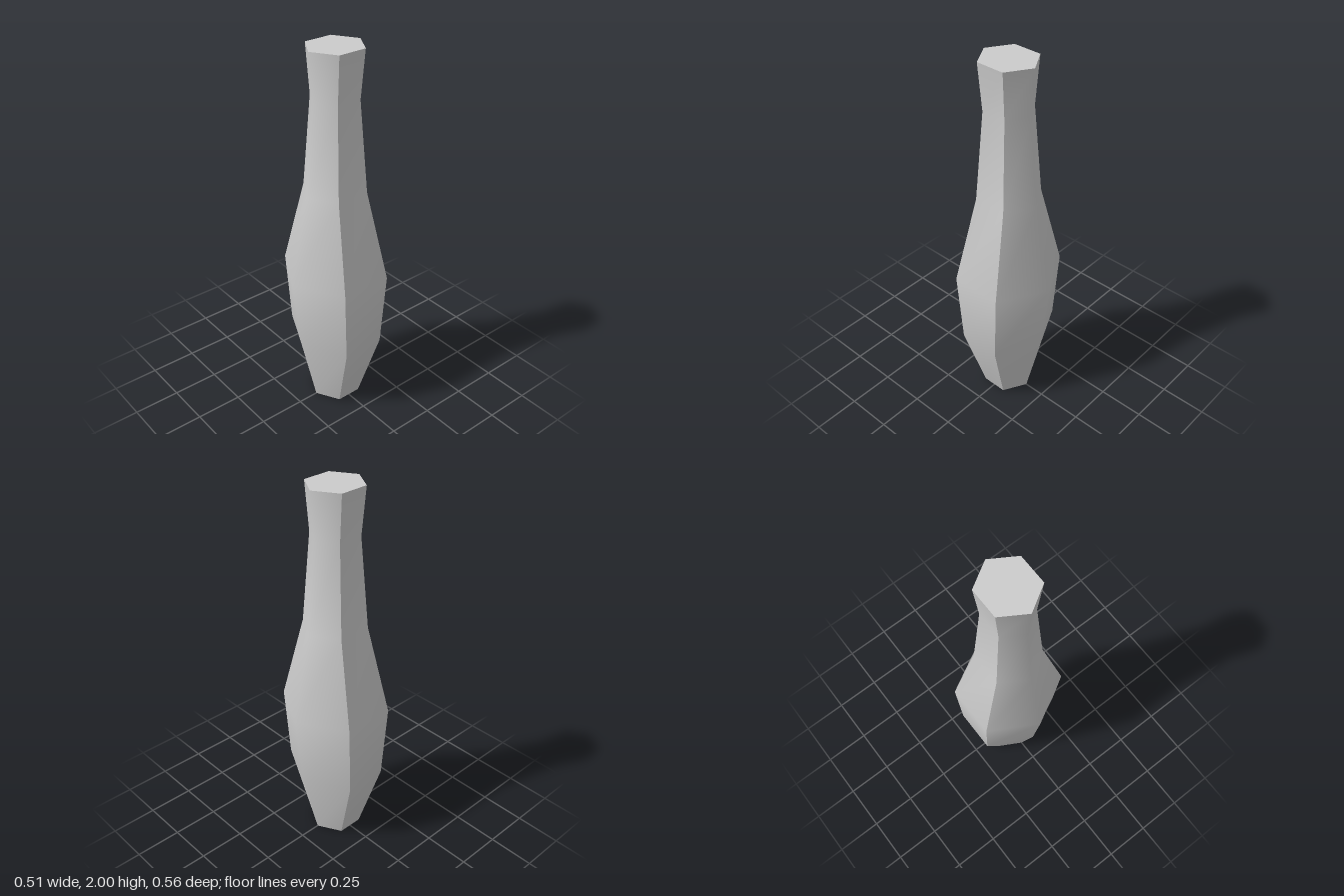
import * as THREE from 'three';

// Cross-sections from base to mouth: height, half width (x), half depth (z)
const RINGS = [
  [0, 0.124, 0.136],
  [0.4, 0.239, 0.231],
  [0.8, 0.253, 0.279],
  [1.27, 0.14, 0.18],
  [1.75, 0.105, 0.136],
  [2, 0.125, 0.153],
];

// Six corners of a ring, anticlockwise from above, starting at the front point
const hexagon = ([y, w, d]) => [
  [0, y, d], [w, y, d / 2], [w, y, -d / 2],
  [0, y, -d], [-w, y, -d / 2], [-w, y, d / 2],
];

function makeMesh(name, points, index, material) {
  const geometry = new THREE.BufferGeometry();
  geometry.setAttribute('position', new THREE.Float32BufferAttribute(points.flat(), 3));
  geometry.setIndex(index);
  geometry.computeVertexNormals();
  const mesh = new THREE.Mesh(geometry, material);
  mesh.name = name;
  return mesh;
}

// Smooth wall strip through the given corners of every ring
function wall(name, corners, material) {
  const n = corners.length;
  const points = RINGS.flatMap((ring) => corners.map((c) => hexagon(ring)[c]));
  const index = [];
  for (let i = 0; i < RINGS.length - 1; i++) {
    for (let j = 0; j < n - 1; j++) {
      const a = i * n + j;
      index.push(a, a + 1, a + n + 1, a, a + n + 1, a + n);
    }
  }
  return makeMesh(name, points, index, material);
}

// Flat hexagonal cap
function cap(name, ring, up, material) {
  const index = [];
  for (let i = 1; i < 5; i++) index.push(0, ...(up ? [i, i + 1] : [i + 1, i]));
  return makeMesh(name, hexagon(ring), index, material);
}

export function createModel() {
  const group = new THREE.Group();
  group.name = 'vase';
  const material = new THREE.MeshStandardMaterial({ color: 0xcccccc });

  // Front and back walls bend softly at the middle; the side walls meet them at hard edges
  group.add(
    wall('frontWall', [5, 0, 1], material),
    wall('leftWall', [1, 2], material),
    wall('backWall', [2, 3, 4], material),
    wall('rightWall', [4, 5], material),
    cap('base', RINGS[0], false, material),
    cap('top', RINGS[RINGS.length - 1], true, material),
  );
  return group;
}
